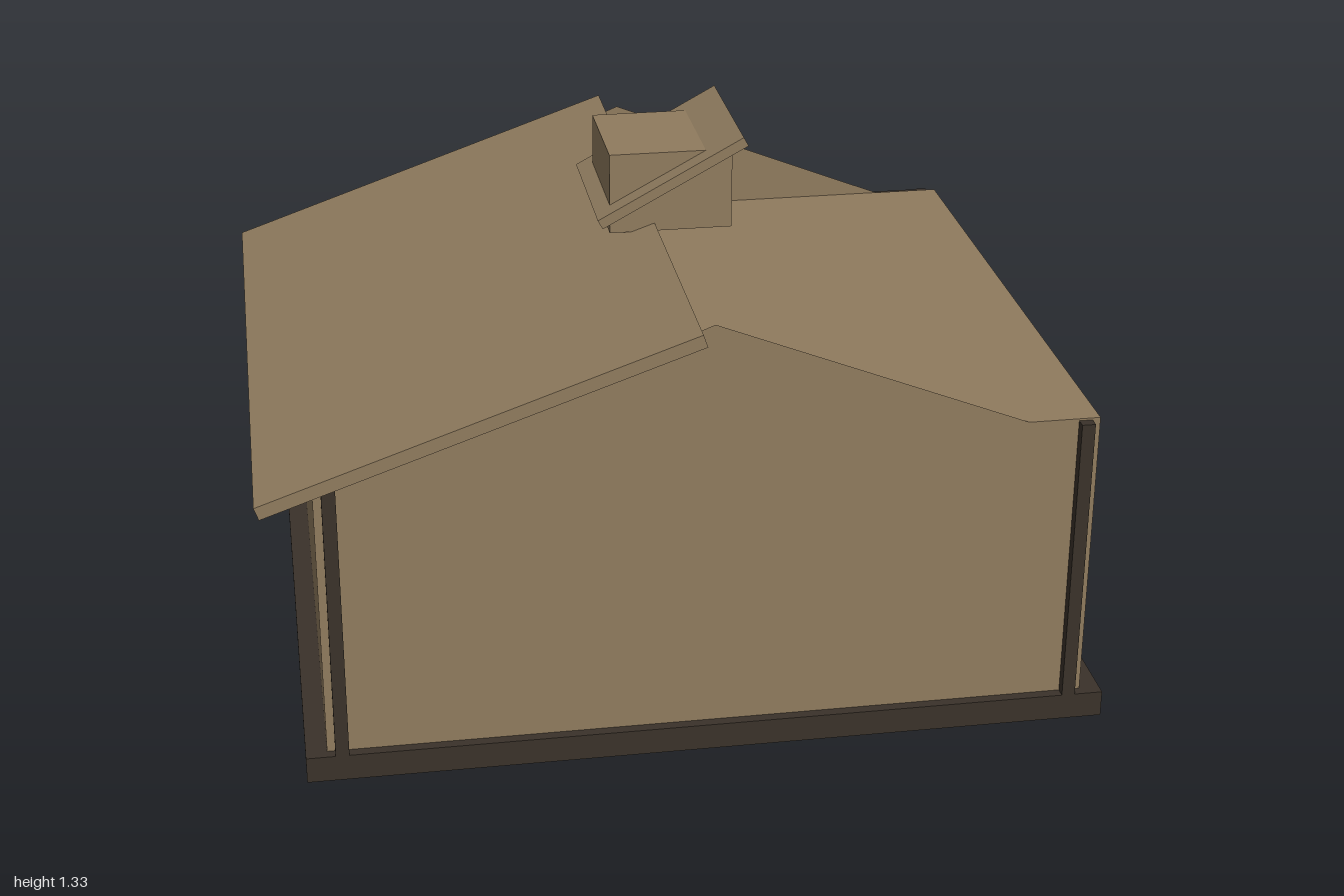
import * as THREE from 'three';

export function createModel() {
  const house = new THREE.Group();
  house.name = 'house';

  const tan = new THREE.MeshStandardMaterial({ color: 0x8f7b5e, side: THREE.DoubleSide });
  tan.name = 'tan';
  const dark = new THREE.MeshStandardMaterial({ color: 0x3a322a });
  dark.name = 'dark brown';

  // Box given by its minimum and maximum on each axis
  function box(name, mat, [x0, x1], [y0, y1], [z0, z1], parent = house) {
    const mesh = new THREE.Mesh(new THREE.BoxGeometry(x1 - x0, y1 - y0, z1 - z0), mat);
    mesh.position.set((x0 + x1) / 2, (y0 + y1) / 2, (z0 + z1) / 2);
    mesh.name = name;
    parent.add(mesh);
    return mesh;
  }

  // Sloping plate whose top edge runs from (x0, y0) to (x1, y1)
  function slab(name, [x0, y0], [x1, y1], thick, depth) {
    const angle = Math.atan2(y1 - y0, x1 - x0);
    const geo = new THREE.BoxGeometry(Math.hypot(x1 - x0, y1 - y0), thick, depth);
    geo.translate(0, -thick / 2, 0);
    const mesh = new THREE.Mesh(geo, tan);
    mesh.rotation.z = angle;
    mesh.position.set((x0 + x1) / 2, (y0 + y1) / 2, 0);
    mesh.name = name;
    house.add(mesh);
  }

  const cx = 0.04; // centre line of the house

  // Foundation and walls; the wall box top is the open ceiling
  box('foundation', dark, [-0.92, 1], [0, 0.065], [-0.785, 0.785]);
  box('walls', tan, [-0.87, 0.95], [0.065, 0.795], [-0.76, 0.76]);

  // Thin gables at both ends
  const triangle = new THREE.Shape([
    new THREE.Vector2(cx - 0.74, 0.795),
    new THREE.Vector2(cx + 0.74, 0.795),
    new THREE.Vector2(cx, 1.09),
  ]);
  for (const z of [0.76, -0.76]) {
    const gable = new THREE.Mesh(new THREE.ShapeGeometry(triangle), tan);
    gable.position.z = z;
    gable.name = z > 0 ? 'frontGable' : 'backGable';
    house.add(gable);
  }

  // Corner posts and the beam on the back wall
  for (const sx of [-1, 1]) {
    for (const sz of [-1, 1]) {
      const x = cx + sx * 0.875, z = sz * 0.77;
      box('cornerPost', dark, [x - 0.016, x + 0.016], [0.065, 0.79], [z - 0.015, z + 0.015]);
    }
  }
  box('backBeam', dark, [-0.85, 0.93], [0.755, 0.79], [-0.782, -0.755]);

  // Single roof slope
  slab('roofSlope', [-1, 0.752], [0, 1.1], 0.032, 1.67);

  // Chimney with a tilted cap passing through it, and a vent behind
  box('chimney', tan, [cx - 0.15, cx + 0.15], [1.08, 1.28], [-0.15, 0.15]);
  slab('chimneyCap', [-0.146, 1.133], [0.208, 1.325], 0.025, 0.4);
  box('chimneyVent', dark, [cx - 0.07, cx + 0.07], [1.15, 1.24], [-0.168, -0.14]);

  // Back door with step and knob
  box('door', dark, [cx - 0.092, cx + 0.092], [0.065, 0.47], [-0.777, -0.75]);
  box('doorStep', dark, [cx - 0.11, cx + 0.11], [0.01, 0.07], [-0.81, -0.77]);
  const knob = new THREE.Mesh(new THREE.SphereGeometry(0.011, 12, 8), dark);
  knob.position.set(cx + 0.066, 0.237, -0.78);
  knob.name = 'doorKnob';
  house.add(knob);

  // Four-pane back windows
  for (const s of [-1, 1]) {
    const win = new THREE.Group();
    win.name = 'window';
    win.position.set(cx + s * 0.505, 0.503, -0.76);
    house.add(win);
    const w = 0.137, h = 0.142, b = 0.026, m = 0.008;
    box('windowGlass', dark, [-w + b, w - b], [-h + b, h - b], [-0.016, -0.008], win);
    for (const t of [-1, 1]) {
      const x = t * (w - b / 2), y = t * (h - b / 2);
      box('frameSide', tan, [x - b / 2, x + b / 2], [-h, h], [-0.03, 0], win);
      box('frameRail', tan, [-w + b, w - b], [y - b / 2, y + b / 2], [-0.03, 0], win);
    }
    box('uprightBar', tan, [-m, m], [-h + b, h - b], [-0.034, -0.01], win);
    box('crossBar', tan, [-w + b, w - b], [-m, m], [-0.034, -0.01], win);
  }

  return house;
}
